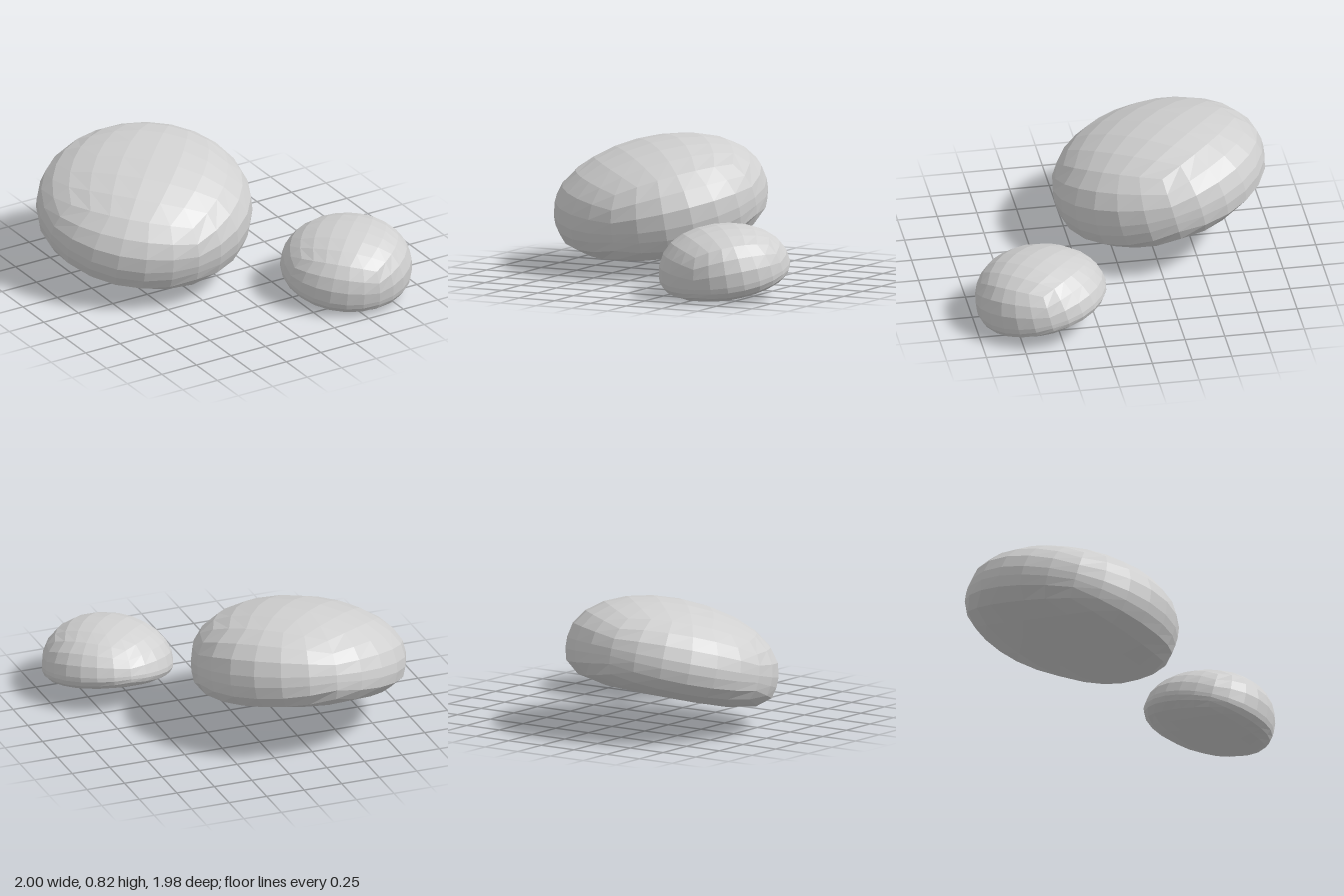
import * as THREE from 'three';

const stoneGrey = new THREE.MeshStandardMaterial({ color: 0xd0d0d0, flatShading: true });
stoneGrey.name = 'stone grey';

// A domed pebble: a subdivided cube puffed into a round dome with a flatter
// underside, its crown leaned, then the whole stone tilted backwards.
function pebble({ name, radius, dome, base, domePower, basePower, leanX, leanZ, tilt, roll, centre }) {
  const geo = new THREE.BoxGeometry(2, 2, 2, 6, 6, 6);
  const pos = geo.attributes.position;
  const v = new THREE.Vector3();
  const spread = (c) => Math.tan((c * Math.PI) / 4); // even angular spacing
  for (let i = 0; i < pos.count; i++) {
    v.fromBufferAttribute(pos, i);
    v.set(spread(v.x), spread(v.y), spread(v.z)).normalize();
    v.applyAxisAngle(THREE.Object3D.DEFAULT_UP, Math.PI / 4);
    // superellipse profile, rounder above and flatter below
    const p = v.y > 0 ? domePower : basePower;
    const reach = Math.pow(Math.pow(Math.hypot(v.x, v.z), p) + Math.pow(Math.abs(v.y), p), -1 / p);
    v.multiplyScalar(reach);
    v.set(v.x * radius, v.y * (v.y > 0 ? dome : base), v.z * radius);
    // lean the crown while the underside stays flat
    const weight = (v.y + base) / (dome + base);
    v.y += weight * (leanX * v.x + leanZ * v.z);
    pos.setXYZ(i, v.x, v.y, v.z);
  }
  geo.computeVertexNormals();

  const mesh = new THREE.Mesh(geo, stoneGrey);
  mesh.name = name;
  mesh.rotation.set(tilt, 0, roll);
  mesh.position.set(...centre);
  return mesh;
}

export function createModel() {
  const group = new THREE.Group();
  group.name = 'pebbles';
  group.add(
    pebble({
      name: 'largePebble', radius: 0.67, dome: 0.36, base: 0.255,
      domePower: 2.05, basePower: 3.7, leanX: 0.07, leanZ: 0.06,
      tilt: 0.26, roll: 0.035, centre: [-0.33, 0.45, -0.313],
    }),
    pebble({
      name: 'smallPebble', radius: 0.41, dome: 0.29, base: 0.12,
      domePower: 2.1, basePower: 3, leanX: 0.02, leanZ: 0.15,
      tilt: 0.245, roll: 0.035, centre: [0.588, 0.172, 0.583],
    }),
  );
  return group;
}
